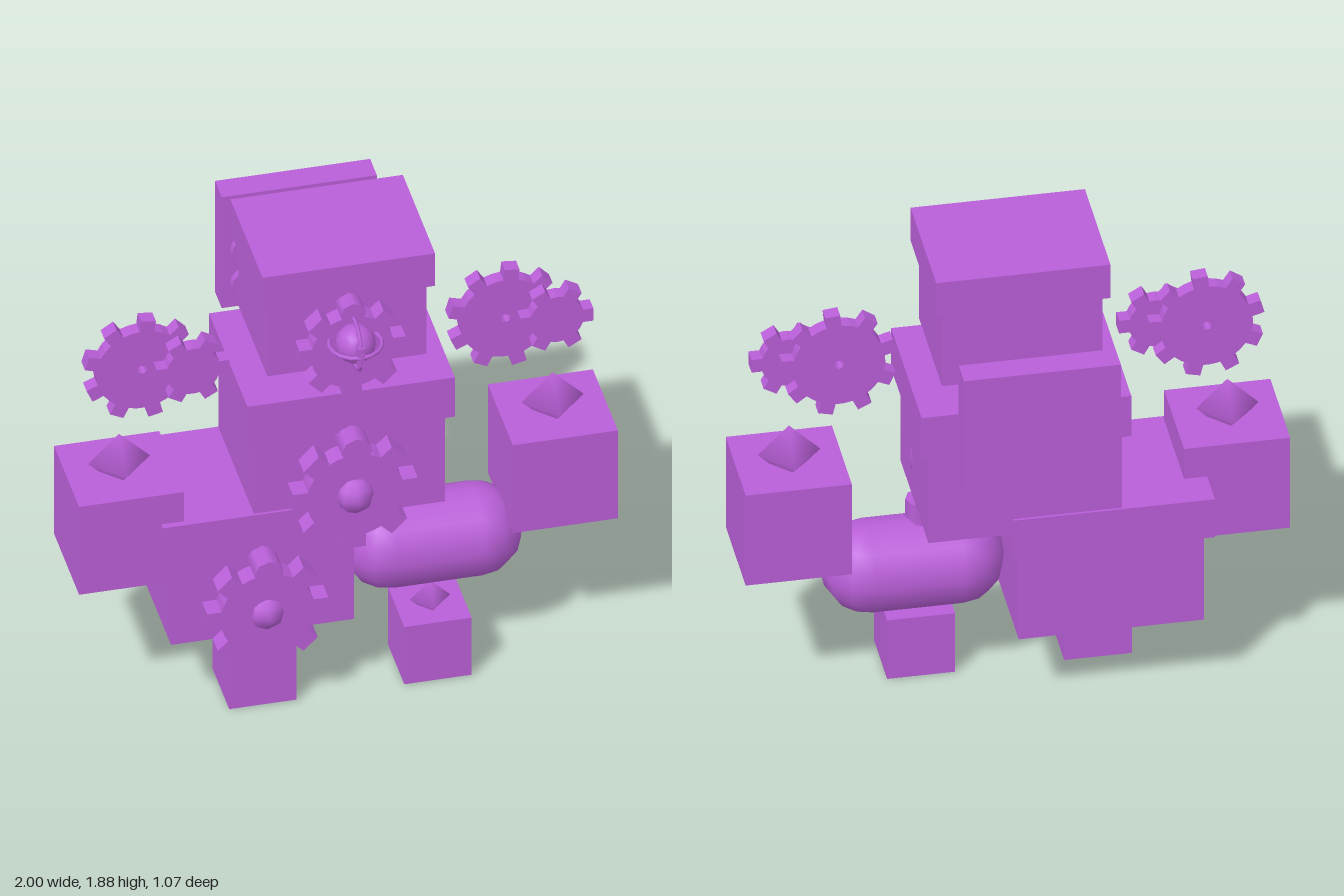
import * as THREE from 'three';

export function createModel() {
  const root = new THREE.Group();
  const smooth = new THREE.MeshStandardMaterial({ color: 0xb95fd8 });
  const flat = new THREE.MeshStandardMaterial({ color: 0xb95fd8, flatShading: true });

  const add = (name, geometry, x, y, z, material = smooth) => {
    const mesh = new THREE.Mesh(geometry, material);
    mesh.name = name;
    mesh.position.set(x, y, z);
    root.add(mesh);
    return mesh;
  };

  // Box given by its limits on each axis
  const box = (name, x0, x1, y0, y1, z0, z1) =>
    add(name, new THREE.BoxGeometry(x1 - x0, y1 - y0, z1 - z0),
      (x0 + x1) / 2, (y0 + y1) / 2, (z0 + z1) / 2);

  // Disc lying in the xy plane
  const disc = (name, r, x, y, z0, z1, sides) => {
    const mesh = add(name, new THREE.CylinderGeometry(r, r, z1 - z0, sides), x, y, (z0 + z1) / 2);
    mesh.rotation.x = Math.PI / 2;
    return mesh;
  };

  // Straight-toothed gear, extruded from z0 to z1
  const gear = (name, x, y, z0, z1, inner, outer, teeth, toothWidth, turn = 0, hole = 0) => {
    const points = [];
    const half = toothWidth / 2;
    const edge = Math.asin(half / inner);
    const tip = Math.asin(half / outer);
    const step = (Math.PI * 2) / teeth;
    const polar = (r, a) => points.push(new THREE.Vector2(r * Math.cos(a), r * Math.sin(a)));
    for (let i = 0; i < teeth; i++) {
      const a = turn + i * step;
      polar(inner, a - edge);
      polar(outer, a - tip);
      polar(outer, a + tip);
      polar(inner, a + edge);
      polar(inner, a + step / 2);
    }
    const shape = new THREE.Shape(points);
    if (hole) shape.holes.push(new THREE.Path().absarc(0, 0, hole, 0, Math.PI * 2, true));
    add(name, new THREE.ExtrudeGeometry(shape,
      { depth: z1 - z0, bevelEnabled: false, curveSegments: 4 }), x, y, z0, flat);
  };

  // Three lidded chests forming head, torso and hip
  box('head', -0.295, 0.295, 1.42, 1.74, -0.145, 0.3);
  box('headLid', -0.32, 0.32, 1.74, 1.885, -0.165, 0.33);
  box('torso', -0.355, 0.355, 0.78, 1.17, -0.2, 0.34);
  box('torsoLid', -0.385, 0.385, 1.17, 1.345, -0.225, 0.365);
  box('hipChest', -0.66, 0.02, 0.305, 0.68, -0.18, 0.33);
  box('hipLid', -0.695, 0.045, 0.68, 0.845, -0.21, 0.35);

  // Gear locks with hub and upper peg on the chest fronts
  gear('headGear', 0, 1.543, 0.32, 0.39, 0.155, 0.2, 8, 0.07);
  disc('headPeg', 0.048, 0, 1.715, 0.31, 0.4, 8);
  gear('torsoGear', 0, 0.93, 0.35, 0.43, 0.18, 0.235, 8, 0.08);
  disc('torsoPeg', 0.057, 0, 1.14, 0.34, 0.455, 8);
  gear('hipGear', -0.325, 0.455, 0.35, 0.43, 0.175, 0.228, 8, 0.075);
  disc('hipPeg', 0.055, -0.325, 0.65, 0.34, 0.455, 8);
  add('torsoHub', new THREE.SphereGeometry(0.075, 8, 6), 0, 0.93, 0.412);
  add('hipHub', new THREE.SphereGeometry(0.073, 8, 6), -0.325, 0.455, 0.397);

  // Caged eye on the head
  add('eye', new THREE.SphereGeometry(0.075, 12, 8), 0, 1.61, 0.43);
  const ring = () => new THREE.TorusGeometry(0.097, 0.008, 6, 16);
  add('eyeRingUpright', ring(), 0, 1.61, 0.43).rotation.y = Math.PI / 2;
  add('eyeRingLevel', ring(), 0, 1.61, 0.43).rotation.x = Math.PI / 2;
  box('eyeLatch', -0.012, 0.012, 1.572, 1.652, 0.485, 0.53);

  // Floating gear pairs at the shoulders
  for (const x of [-0.72, 0.63]) {
    gear('shoulderGear', x, 1.405, 0.08, 0.135, 0.17, 0.215, 9, 0.055, 1.46, 0.018);
    gear('shoulderPinion', x + 0.177, 1.405, 0.13, 0.187, 0.1, 0.138, 6, 0.055);
  }

  // Horizontal tank with rounded ends and a valve
  const tank = add('tank', new THREE.CylinderGeometry(0.175, 0.175, 0.325, 16), 0.352, 0.485, 0.13);
  tank.rotation.z = Math.PI / 2;
  for (const x of [0.19, 0.515]) add('tankEnd', new THREE.SphereGeometry(0.175, 12, 8), x, 0.485, 0.13);
  add('valveStem', new THREE.CylinderGeometry(0.035, 0.035, 0.06, 8), 0.322, 0.665, 0.13);
  add('valveCap', new THREE.CylinderGeometry(0.056, 0.056, 0.075, 8), 0.322, 0.718, 0.13);
  add('torsoCore', new THREE.SphereGeometry(0.175, 12, 8), 0.19, 0.93, 0.13);

  // Block hands and feet with pointed gems on top
  const gem = (name, r, x, y, z) => add(name, new THREE.SphereGeometry(r, 4, 2), x, y, z);
  for (const s of [-1, 1]) {
    box('hand', s * 0.805 - 0.195, s * 0.805 + 0.195, 0.583, 0.975, -0.06, 0.325);
    gem('handGem', 0.115, s * 0.805, 1.015, 0.13);
    box('foot', s * 0.325 - 0.125, s * 0.325 + 0.125, 0, 0.255, 0.1, 0.355);
    gem('footGem', 0.075, s * 0.325, 0.28, 0.23);
  }

  // Panel behind the head: a grid of dials, some with a knob
  box('backPanel', -0.288, 0.288, 1.205, 1.7, -0.535, -0.432);
  const knobs = [[1, 1, 0], [0, 0, 1], [0, 0, 0]];
  knobs.forEach((row, r) => row.forEach((knob, c) => {
    const x = (c - 1) * 0.188;
    const y = 1.6 - r * 0.147;
    disc('dial', 0.072, x, y, -0.434, -0.403, 12);
    if (knob) add('dialKnob', new THREE.SphereGeometry(0.04, 10, 8), x, y, -0.378);
  }));

  return root;
}
